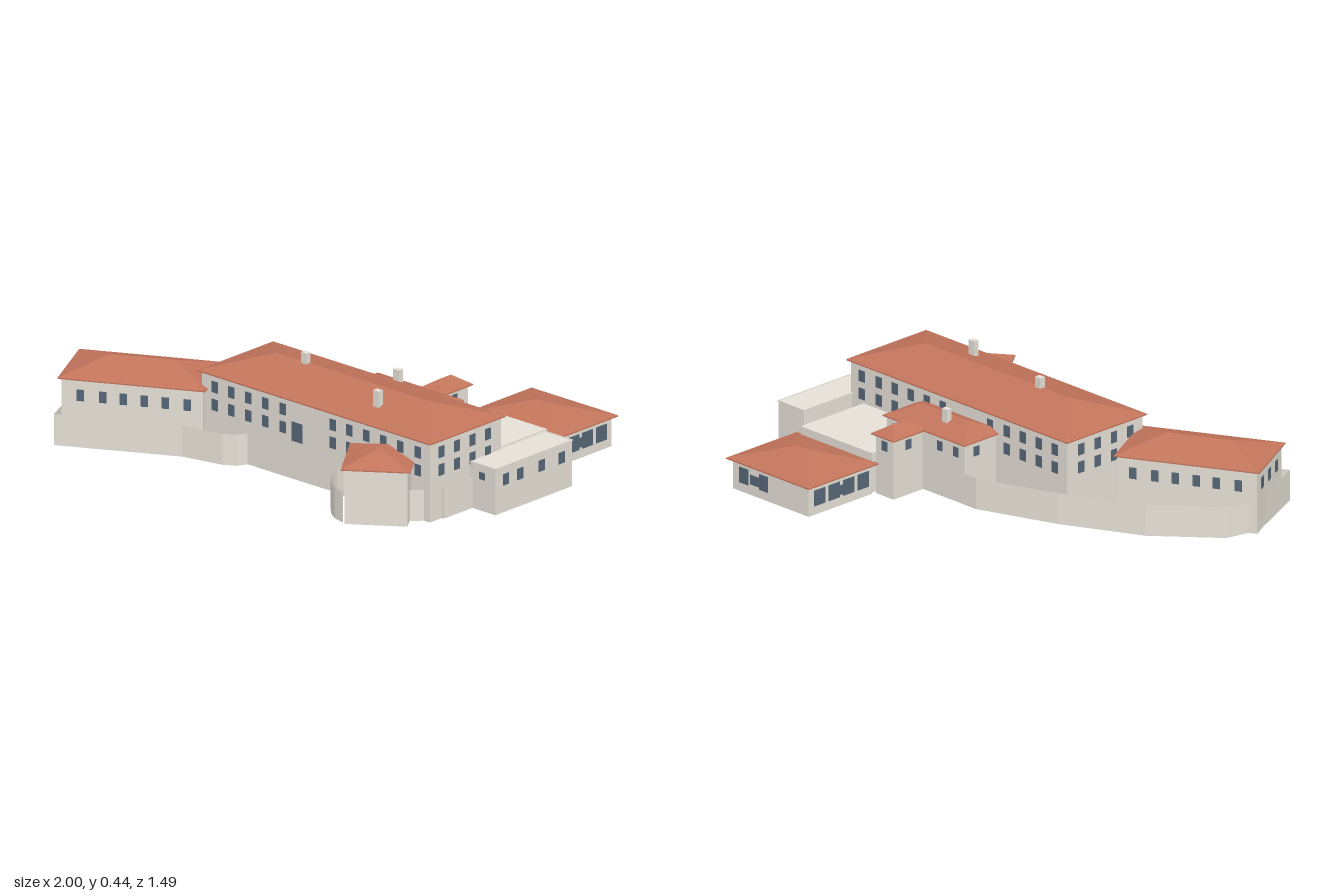
import * as THREE from 'three';

const mat = (name, color, side = THREE.FrontSide) => {
  const m = new THREE.MeshStandardMaterial({ color, side });
  m.name = name;
  return m;
};

export function createModel() {
  const stone = mat('stone', 0xe6e1d7, THREE.DoubleSide);
  const tile = mat('roofTile', 0xc2745b);
  const glass = mat('windowGlass', 0x566677);

  const model = new THREE.Group();
  model.name = 'villa';

  function add(parent, name, geometry, material, x = 0, y = 0, z = 0) {
    const mesh = new THREE.Mesh(geometry, material);
    mesh.name = name;
    mesh.position.set(x, y, z);
    parent.add(mesh);
    return mesh;
  }

  // Box without its underside, and optionally without its top
  function shell(w, h, d, top) {
    const g = new THREE.BoxGeometry(w, h, d);
    const i = Array.from(g.index.array);
    g.setIndex([...i.slice(0, top ? 18 : 12), ...i.slice(24)]);
    g.clearGroups();
    return g;
  }

  // Hipped roof: eave rectangle w x d, ridge of half extents rx, rz
  function hip(w, d, h, rx, rz) {
    const signs = [[-1, 1], [1, 1], [1, -1], [-1, -1]];
    const low = signs.map(([a, b]) => new THREE.Vector3(a * w / 2, 0, b * d / 2));
    const high = signs.map(([a, b]) => new THREE.Vector3(a * rx, h, b * rz));
    const points = [];
    for (let i = 0; i < 4; i++) {
      const j = (i + 1) % 4;
      points.push(low[i], low[j], high[j]);
      if (high[i].distanceTo(high[j]) > 1e-4) points.push(low[i], high[j], high[i]);
    }
    const g = new THREE.BufferGeometry().setFromPoints(points);
    g.computeVertexNormals();
    return g;
  }

  // One building: walls plus either a hipped roof or a flat top
  function building(name, { x, z, w, d, h, turn = 0, roof }) {
    const g = new THREE.Group();
    g.name = name;
    g.position.set(x, 0, z);
    g.rotation.y = turn;
    g.userData = { w, d };
    add(g, name + 'Walls', shell(w, h, d, !roof), stone, 0, h / 2, 0);
    if (roof) {
      const o = 2 * (roof.over ?? 0.013);
      add(g, name + 'Eave', new THREE.BoxGeometry(w + o, 0.005, d + o), tile, 0, h - 0.001, 0);
      add(g, name + 'Roof', hip(w + o, d + o, roof.rise, roof.rx, roof.rz), tile, 0, h + 0.0015, 0);
    }
    model.add(g);
    return g;
  }

  // Row of thin window panes on one side of a building, at local offsets
  function windows(g, side, offsets, y, w = 0.032, h = 0.047) {
    const { w: bw, d: bd } = g.userData;
    for (const u of offsets) {
      const pane = add(g, 'window', new THREE.BoxGeometry(w, h, 0.006), glass);
      if (side === 'front' || side === 'back') {
        pane.position.set(u, y, (side === 'front' ? 1 : -1) * bd / 2);
      } else {
        pane.position.set((side === 'left' ? 1 : -1) * bw / 2, y, u);
        pane.rotation.y = Math.PI / 2;
      }
    }
  }

  // Main house
  const main = building('mainHouse', {
    x: 0.253, z: 0.182, w: 1.215, d: 0.414, h: 0.333,
    roof: { rise: 0.069, rx: 0.4, rz: 0 },
  });
  const bays = [-0.54, -0.45, -0.36, -0.27, -0.175, 0.09, 0.18, 0.27, 0.36, 0.45, 0.545];
  for (const y of [0.205, 0.28]) {
    windows(main, 'front', bays, y);
    windows(main, 'back', bays, y);
    for (const s of ['left', 'right']) windows(main, s, [0.14, 0.05, -0.04, -0.13], y);
  }
  windows(main, 'front', [-0.1], 0.2, 0.058, 0.08);

  // Angled long wing
  const wing = building('longWing', {
    x: -0.655, z: 0.41, w: 0.575, d: 0.312, h: 0.263, turn: 0.486,
    roof: { rise: 0.055, rx: 0.135, rz: 0 },
  });
  for (const s of ['front', 'back']) windows(wing, s, [-0.21, -0.12, -0.036, 0.05, 0.135, 0.225], 0.195, 0.03);
  windows(wing, 'right', [-0.09, 0, 0.09], 0.195, 0.03);

  // Angled front pavilion
  building('frontPavilion', {
    x: 0.645, z: 0.443, w: 0.25, d: 0.276, h: 0.231, turn: 0.62,
    roof: { rise: 0.051, rx: 0, rz: 0.022 },
  });

  // Rear annex against the main house
  const annex = building('rearAnnex', {
    x: 0.262, z: -0.095, w: 0.434, d: 0.208, h: 0.255,
    roof: { rise: 0.046, rx: 0.13, rz: 0 },
  });
  windows(annex, 'back', [-0.17, -0.08, 0.17], 0.21, 0.03, 0.04);
  windows(annex, 'right', [-0.04], 0.21, 0.03, 0.04);

  // Small stair tower
  const tower = building('stairTower', {
    x: 0.327, z: -0.282, w: 0.1, d: 0.16, h: 0.252,
    roof: { rise: 0.04, rx: 0, rz: 0.034 },
  });
  for (const s of ['left', 'right']) windows(tower, s, [0], 0.213, 0.03, 0.04);
  windows(tower, 'back', [0], 0.213, 0.03, 0.04);

  // Flat terrace linking the house to the garden hall
  building('terrace', { x: 0.59, z: -0.195, w: 0.4, d: 0.35, h: 0.167 });

  // Garden hall with large glazing
  const hall = building('gardenHall', {
    x: 0.593, z: -0.553, w: 0.425, d: 0.35, h: 0.128,
    roof: { over: 0.019, rise: 0.057, rx: 0.028, rz: 0 },
  });
  for (const s of ['left', 'right']) {
    windows(hall, s, [0.125, 0.045, -0.035, -0.115], 0.07, 0.06, 0.066);
    windows(hall, s, [0.005], 0.066, 0.03, 0.04);
  }
  windows(hall, 'back', [0.15, 0.04], 0.07, 0.05, 0.066);
  windows(hall, 'back', [0.09], 0.066, 0.05, 0.04);

  // Flat-roofed side block with a thin rim
  const side = building('sideBlock', { x: 0.925, z: -0.068, w: 0.142, d: 0.444, h: 0.194 });
  windows(side, 'left', [0.163, 0.08, -0.045, -0.162], 0.137, 0.033);
  windows(side, 'front', [0], 0.147, 0.03, 0.03);
  for (const s of [-1, 1]) {
    add(side, 'rim', new THREE.BoxGeometry(0.006, 0.006, 0.45), stone, s * 0.071, 0.193, 0);
    add(side, 'rim', new THREE.BoxGeometry(0.148, 0.006, 0.006), stone, 0, 0.193, s * 0.222);
  }

  // Low retaining walls: thin upright sheets along a ground path
  function retainingWall(path, height = 0.13) {
    const pos = [];
    for (let i = 0; i + 1 < path.length; i++) {
      const [[ax, az], [bx, bz]] = [path[i], path[i + 1]];
      pos.push(ax, 0, az, bx, 0, bz, bx, height, bz, ax, 0, az, bx, height, bz, ax, height, az);
    }
    const g = new THREE.BufferGeometry();
    g.setAttribute('position', new THREE.Float32BufferAttribute(pos, 3));
    g.computeVertexNormals();
    add(model, 'retainingWall', g, stone);
  }
  retainingWall([[-0.93, 0.51], [-0.82, 0.745], [-0.36, 0.5], [-0.18, 0.46], [-0.13, 0.43], [-0.11, 0.385]]);
  retainingWall([[0.05, -0.2], [-0.02, -0.2], [-0.36, -0.08], [-0.69, 0.08], [-0.93, 0.29], [-0.95, 0.39]]);
  const curve = new THREE.SplineCurve(
    [[0.41, 0.385], [0.42, 0.46], [0.47, 0.54], [0.54, 0.6], [0.61, 0.62]].map((p) => new THREE.Vector2(...p)));
  retainingWall(curve.getPoints(10).map((p) => [p.x, p.y]));
  retainingWall([[0.858, 0.32], [0.872, 0.32], [0.872, 0.15]]);
  retainingWall([[0.86, -0.29], [0.8, -0.385]]);
  retainingWall([[0.79, 0.43], [0.83, 0.388]]);

  // Chimneys
  for (const [x, z, top] of [[0.01, 0.183, 0.445], [0.49, 0.287, 0.435], [0.215, -0.13, 0.34]]) {
    add(model, 'chimney', new THREE.BoxGeometry(0.03, 0.09, 0.024), stone, x, top - 0.045, z);
  }
  return model;
}
